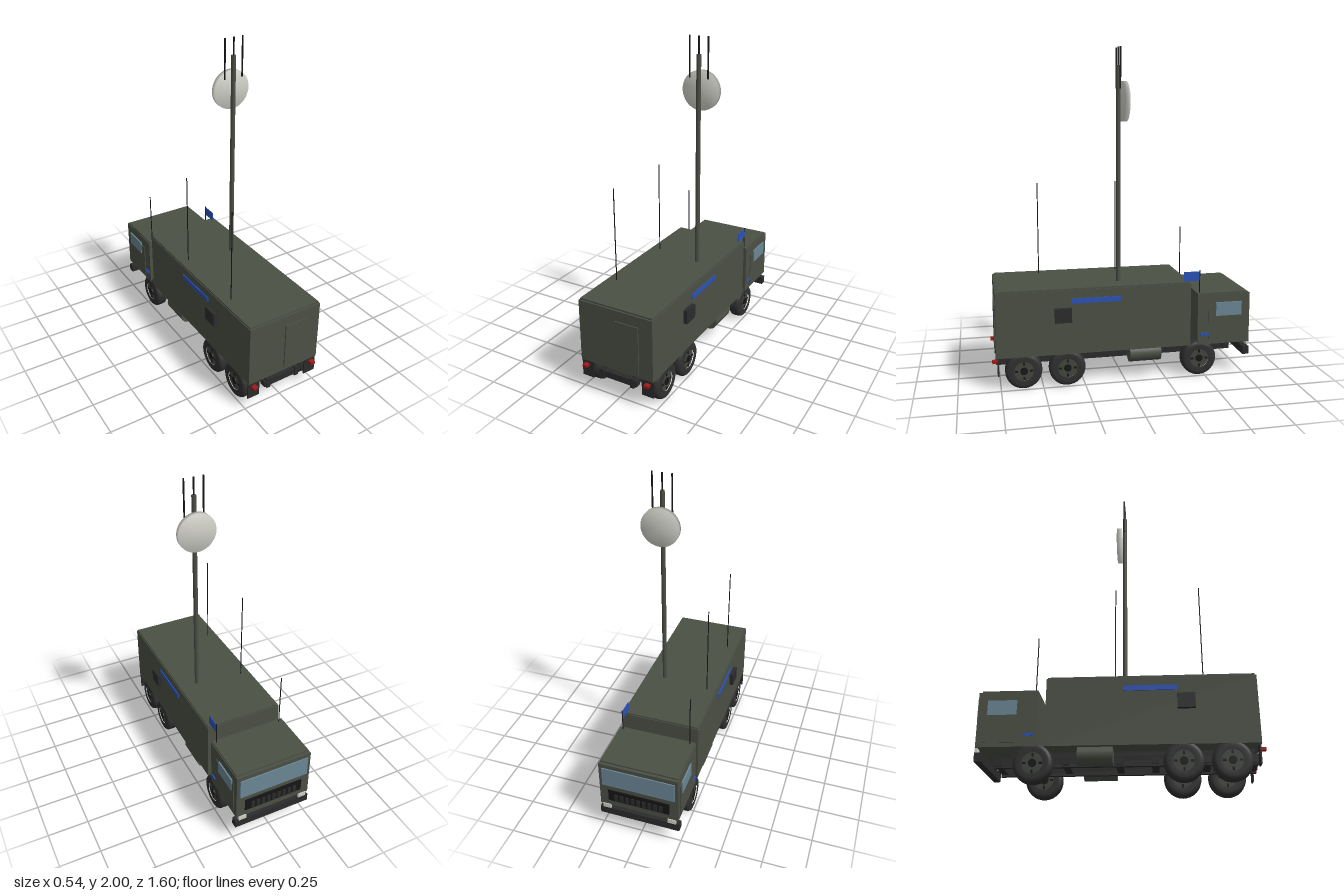
import * as THREE from 'three';
import { mergeVertices } from 'three/addons/utils/BufferGeometryUtils.js';

const mat = (name, color) => {
  const m = new THREE.MeshStandardMaterial({ color });
  m.name = name;
  return m;
};

export function createModel() {
  const model = new THREE.Group();
  model.name = 'mastTruck';
  const olive = mat('olive', 0x4b5045);
  const rimGreen = mat('rimGreen', 0x42463d);
  const dark = mat('darkMetal', 0x2b2b2b);
  const rubber = mat('rubber', 0x303030);
  const black = mat('black', 0x161616);
  const glass = mat('glass', 0x6b8796);
  const blue = mat('blue', 0x2a52b8);
  const red = mat('red', 0xa01818);
  const white = mat('offWhite', 0xd2d2ca);

  const add = (name, geo, m, x = 0, y = 0, z = 0, parent = model) => {
    const mesh = new THREE.Mesh(geo, m);
    mesh.name = name;
    mesh.position.set(x, y, z);
    parent.add(mesh);
    return mesh;
  };
  // Box given by its extents on each axis
  const box = (name, m, [x0, x1], [y0, y1], [z0, z1]) =>
    add(name, new THREE.BoxGeometry(x1 - x0, y1 - y0, z1 - z0), m,
      (x0 + x1) / 2, (y0 + y1) / 2, (z0 + z1) / 2);
  // Box and its mirror image across x
  const pair = (name, m, [x0, x1], y, z) => {
    box(name + 'Left', m, [x0, x1], y, z);
    box(name + 'Right', m, [-x1, -x0], y, z);
  };
  const rod = (name, m, r, x, y0, y1, z) =>
    add(name, new THREE.CylinderGeometry(r, r, y1 - y0, 12), m, x, (y0 + y1) / 2, z);

  // Shelter body, roof, rear door and side fittings
  box('shelterBody', olive, [-0.245, 0.245], [0.2, 0.59], [-0.405, 0.775]);
  box('shelterRoof', olive, [-0.24, 0.24], [0.59, 0.6], [-0.4, 0.765]);
  box('rearDoor', olive, [0, 0.155], [0.225, 0.525], [0.775, 0.782]);
  pair('sideStripe', blue, [0.245, 0.251], [0.51, 0.54], [0.03, 0.33]);
  pair('ventUnit', dark, [0.245, 0.27], [0.4, 0.485], [0.33, 0.43]);

  // Cab, at the -z end
  box('cabBody', olive, [-0.245, 0.245], [0.2, 0.515], [-0.785, -0.45]);
  box('cabRoof', olive, [-0.24, 0.24], [0.515, 0.525], [-0.768, -0.45]);
  pair('cabDoor', olive, [0.245, 0.25], [0.225, 0.445], [-0.75, -0.52]);
  pair('cabWindow', glass, [0.246, 0.255], [0.38, 0.465], [-0.73, -0.565]);
  pair('cabMarker', blue, [0.245, 0.252], [0.258, 0.274], [-0.522, -0.468]);
  box('windscreen', glass, [-0.225, 0.225], [0.36, 0.488], [-0.792, -0.785]);
  box('grille', black, [-0.19, 0.19], [0.245, 0.325], [-0.792, -0.785]);
  for (let i = 0; i < 9; i++) {
    const x = -0.14 + i * 0.035;
    box('grilleSlat', dark, [x - 0.011, x + 0.011], [0.25, 0.3], [-0.798, -0.792]);
  }
  box('frontBumper', dark, [-0.25, 0.25], [0.12, 0.17], [-0.785, -0.745]);
  pair('headlight', white, [0.18, 0.23], [0.175, 0.205], [-0.79, -0.775]);

  // Chassis
  pair('chassisRail', dark, [0.09, 0.115], [0.115, 0.175], [-0.705, 0.775]);
  for (const z of [-0.68, -0.3, 0, 0.2, 0.49, 0.75])
    box('crossMember', dark, [-0.13, 0.13], [0.125, 0.165], [z - 0.02, z + 0.02]);
  pair('bodyMount', dark, [0.09, 0.115], [0.175, 0.2], [-0.6, 0.75]);
  pair('mudFlap', dark, [0.165, 0.245], [0.09, 0.2], [0.76, 0.768]);
  pair('tailLight', red, [0.195, 0.225], [0.164, 0.18], [0.768, 0.798]);
  for (const s of [1, -1]) {
    const tank = add('fuelTank', new THREE.CylinderGeometry(0.055, 0.055, 0.195, 24), olive, s * 0.18, 0.158, -0.127);
    tank.rotation.x = Math.PI / 2;
  }

  // Wheels: a lathed tyre with a dished rim, hub and lugs
  const tyreGeo = new THREE.LatheGeometry([
    [0.058, -0.038], [0.085, -0.04], [0.1, -0.036], [0.108, -0.027], [0.11, -0.015],
    [0.11, 0.015], [0.108, 0.027], [0.1, 0.036], [0.085, 0.04], [0.058, 0.038],
  ].map(([r, y]) => new THREE.Vector2(r, y)), 32);
  const rimGeo = new THREE.CylinderGeometry(0.06, 0.06, 0.064, 28);
  const hubGeo = new THREE.CylinderGeometry(0.022, 0.026, 0.078, 16);
  const lugGeo = new THREE.BoxGeometry(0.018, 0.072, 0.011);
  for (const z of [0.615, 0.355, -0.465]) {
    const axle = add('axle', new THREE.CylinderGeometry(0.02, 0.02, 0.36, 12), dark, 0, 0.113, z);
    axle.rotation.z = Math.PI / 2;
    for (const s of [1, -1]) {
      const wheel = new THREE.Group();
      wheel.name = 'wheel';
      wheel.position.set(s * 0.204, 0.111, z);
      wheel.rotation.z = -s * Math.PI / 2;
      add('tyre', tyreGeo, rubber, 0, 0, 0, wheel);
      add('rim', rimGeo, rimGreen, 0, 0, 0, wheel);
      add('hub', hubGeo, black, 0, 0, 0, wheel);
      for (let i = 0; i < 4; i++) {
        const a = i * Math.PI / 2;
        const lug = add('lug', lugGeo, black, Math.cos(a) * 0.045, 0, Math.sin(a) * 0.045, wheel);
        lug.rotation.y = -a;
      }
      model.add(wheel);
    }
  }

  // Mast with softly shaded dish and rod aerials
  rod('mast', olive, 0.014, 0.117, 0.6, 1.895, 0.022);
  const dishGeo = new THREE.CylinderGeometry(0.118, 0.118, 0.03, 40);
  dishGeo.deleteAttribute('normal');
  dishGeo.deleteAttribute('uv');
  const smoothDish = mergeVertices(dishGeo);
  smoothDish.computeVertexNormals();
  add('dish', smoothDish, white, 0.119, 1.685, -0.011).rotation.x = Math.PI / 2;
  rod('mastAerialCentre', black, 0.005, 0.117, 1.89, 2, 0.022);
  for (const x of [0.058, 0.177]) rod('mastAerialSide', black, 0.005, x, 1.76, 2, 0.022);

  // Whip aerials and flag
  rod('rearWhip', black, 0.003, -0.182, 0.6, 1.18, 0.482);
  rod('middleWhip', black, 0.003, -0.182, 0.6, 1.18, -0.018);
  rod('cabWhip', black, 0.003, -0.212, 0.525, 0.86, -0.467);
  rod('flagPole', black, 0.003, 0.218, 0.525, 0.665, -0.467);
  box('flag', blue, [0.216, 0.22], [0.6, 0.658], [-0.467, -0.367]);

  return model;
}
